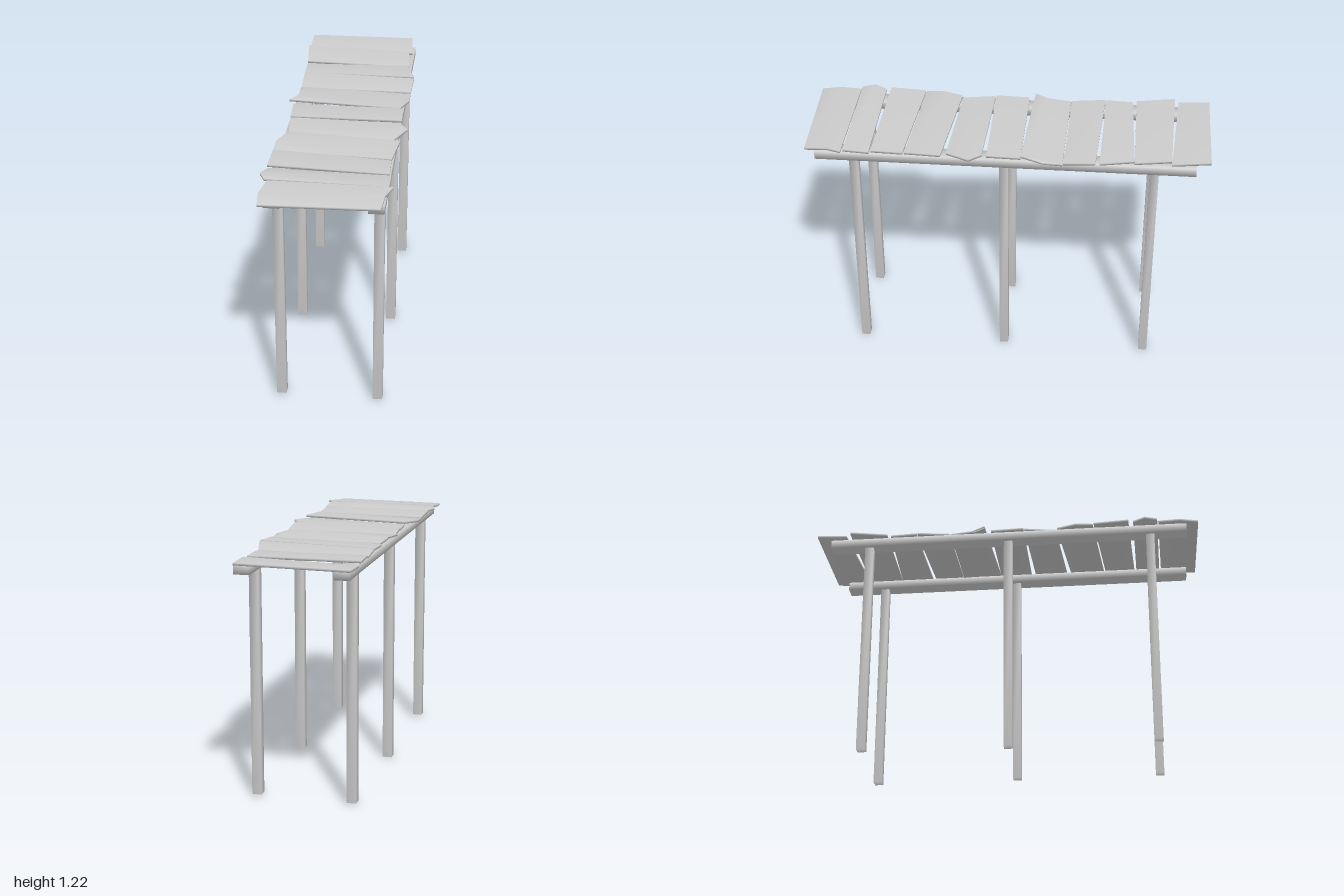
import * as THREE from 'three';
import { mergeVertices } from 'three/addons/utils/BufferGeometryUtils.js';

const material = new THREE.MeshStandardMaterial({ color: 0xcccccc });

// Share corners so the shading rolls softly over the edges
function soften(geometry) {
  geometry.deleteAttribute('normal');
  geometry.deleteAttribute('uv');
  const merged = mergeVertices(geometry, 1e-4);
  merged.computeVertexNormals();
  return merged;
}

function addPart(group, name, geometry, x = 0, y = 0, z = 0) {
  const mesh = new THREE.Mesh(soften(geometry), material);
  mesh.name = name;
  mesh.position.set(x, y, z);
  group.add(mesh);
}

// Board cut from an [x, z] outline, sloped along z (pitch) and x (roll)
function plankGeometry(outline, y, pitch, roll, thickness = 0.012) {
  const shape = new THREE.Shape(outline.map(([x, z]) => new THREE.Vector2(x, -z)));
  const geometry = new THREE.ExtrudeGeometry(shape, { depth: thickness, bevelEnabled: false });
  geometry.rotateX(-Math.PI / 2);
  const zs = outline.map((p) => p[1]);
  const zMid = (Math.min(...zs) + Math.max(...zs)) / 2;
  const pos = geometry.attributes.position;
  for (let i = 0; i < pos.count; i++) {
    pos.setY(i, pos.getY(i) + y + pitch * (pos.getZ(i) - zMid) + roll * pos.getX(i));
  }
  return geometry;
}

// Back to front: outline, underside height, pitch, roll
const planks = [
  [[[-0.3, -1], [0.255, -1], [0.27, -0.81], [-0.3, -0.845]], 1.201, -0.05, 0.008],
  [[[-0.305, -0.825], [0.25, -0.81], [0.265, -0.63], [-0.285, -0.63]], 1.203, -0.06, -0.012],
  [[[-0.285, -0.61], [0.255, -0.63], [0.305, -0.46], [-0.28, -0.475]], 1.2, 0.06, 0.01],
  [[[-0.28, -0.47], [0.305, -0.44], [0.3, -0.285], [-0.275, -0.3]], 1.2, -0.07, 0.012],
  [[[-0.265, -0.295], [0.3, -0.28], [0.3, -0.185], [0.26, -0.075], [-0.31, -0.11], [-0.275, -0.175]], 1.198, 0.05, -0.01],
  [[[-0.285, -0.08], [0.275, -0.075], [0.285, 0.09], [-0.275, 0.09]], 1.202, 0.06, 0.008],
  [[[-0.275, 0.095], [0.275, 0.115], [0.32, 0.175], [0.26, 0.29], [-0.26, 0.26]], 1.199, -0.05, 0.015],
  [[[-0.26, 0.265], [0.295, 0.315], [0.27, 0.495], [-0.305, 0.455], [-0.305, 0.365]], 1.2, -0.06, 0.01],
  [[[-0.305, 0.46], [0.27, 0.505], [0.275, 0.66], [-0.305, 0.64]], 1.199, 0.05, -0.01],
  [[[-0.295, 0.665], [0.285, 0.67], [0.285, 0.795], [-0.295, 0.79], [-0.325, 0.725]], 1.204, 0.06, -0.008],
  [[[-0.28, 0.795], [0.305, 0.805], [0.275, 0.875], [0.265, 0.99], [-0.295, 1], [-0.305, 0.905]], 1.198, -0.09, 0.008],
];

export function createModel() {
  const model = new THREE.Group();
  model.name = 'woodenWalkway';

  // Two long beams, each on three square posts
  for (const [side, name] of [[-1, 'right'], [1, 'left']]) {
    const x = side * 0.24;
    addPart(model, `${name}Beam`, new THREE.BoxGeometry(0.076, 0.044, 1.87), x, 1.172, 0.005);
    [0.75, 0.008, -0.728].forEach((z, i) => {
      const bottom = side < 0 && i === 1 ? 0 : 0.01;
      addPart(model, `${name}Post${i + 1}`,
        new THREE.BoxGeometry(0.048, 1.155 - bottom, 0.044), x, (1.155 + bottom) / 2, z);
    });
  }

  // Uneven deck boards
  planks.forEach(([outline, y, pitch, roll], i) =>
    addPart(model, `plank${i + 1}`, plankGeometry(outline, y, pitch, roll)));

  return model;
}
